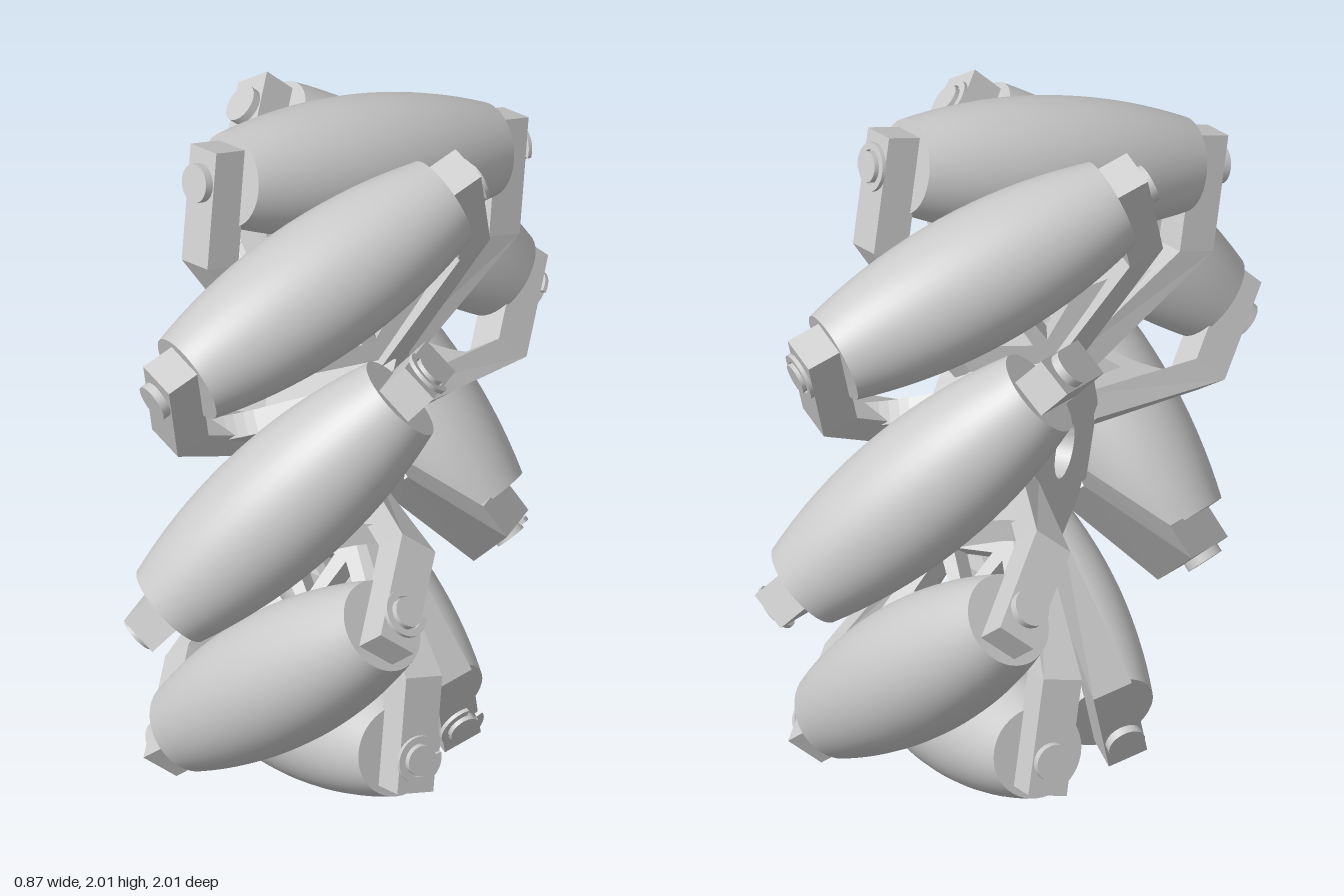
import * as THREE from 'three';
import { toCreasedNormals } from 'three/addons/utils/BufferGeometryUtils.js';

const COUNT = 8;
const STEP = (Math.PI * 2) / COUNT;
const R = 0.8;                                  // radius of the roller centres
const A = THREE.MathUtils.degToRad(48);         // roller axis against wheel axis
const X = new THREE.Vector3(1, 0, 0), Y = new THREE.Vector3(0, 1, 0);
const D = new THREE.Vector3(Math.cos(A), 0, -Math.sin(A));   // along a roller
const N = new THREE.Vector3(Math.sin(A), 0, Math.cos(A));    // across it
const mat = new THREE.MeshStandardMaterial({ color: 0xcccccc });
const thin = new THREE.MeshStandardMaterial({ color: 0xcccccc, side: THREE.DoubleSide });

function mesh(name, geometry, parent, material = mat) {
  const m = new THREE.Mesh(geometry, material);
  m.name = name;
  parent.add(m);
  return m;
}

// Four corners of a rectangle aligned with the roller axis
function section(center, halfD, halfN) {
  return [[1, 1], [1, -1], [-1, -1], [-1, 1]].map(([a, b]) =>
    center.clone().addScaledVector(D, a * halfD).addScaledVector(N, b * halfN));
}

// Flat-sided solid through four-cornered sections
function loft(sections) {
  const pos = [];
  const quad = (a, b, c, d) => [a, b, c, a, c, d].forEach(p => pos.push(p.x, p.y, p.z));
  for (let k = 0; k < sections.length - 1; k++) {
    const lo = sections[k], hi = sections[k + 1];
    for (let i = 0; i < 4; i++) {
      const j = (i + 1) % 4;
      quad(lo[i], lo[j], hi[j], hi[i]);
    }
  }
  quad(...sections[sections.length - 1]);
  quad(...sections[0].slice().reverse());
  const g = new THREE.BufferGeometry();
  g.setAttribute('position', new THREE.Float32BufferAttribute(pos, 3));
  g.computeVertexNormals();
  return g;
}

// Barrel whose outer line lies on a cylinder of radius 1
function rollerGeometry() {
  const k = Math.sin(A), pts = [];
  for (let i = 0; i <= 18; i++) {
    const s = -0.42 + (0.84 * i) / 18;
    const rho = Math.hypot(R, s * k);
    const shift = ((1 - rho) * s * k * k) / rho;
    pts.push(new THREE.Vector2(Math.sqrt((1 - rho) ** 2 - shift ** 2), s + shift));
  }
  pts.unshift(new THREE.Vector2(0, pts[0].y));
  pts.push(new THREE.Vector2(0, pts[pts.length - 1].y));
  return toCreasedNormals(new THREE.LatheGeometry(pts, 44), 0.6);
}

// Arm: hub, knee, then out to the roller pin
function armGeometry() {
  const onRoller = b => section(D.clone().multiplyScalar(0.505).setY(R + b), 0.055, 0.06)
    .map(p => p.applyAxisAngle(X, STEP / 2));
  return loft([
    section(new THREE.Vector3(0.12, 0.25, -0.047), 0.045, 0.04),
    onRoller(-0.24),
    onRoller(0.1),
  ]);
}

// Truss plate joining the two arms of a spoke
function webGeometry() {
  const s = new THREE.Shape();
  s.moveTo(-0.13, 0.24);
  s.lineTo(0.13, 0.24);
  s.lineTo(0.36, 0.63);
  s.quadraticCurveTo(0.28, 0.54, 0.16, 0.53);
  s.lineTo(-0.16, 0.53);
  s.quadraticCurveTo(-0.28, 0.54, -0.36, 0.63);
  s.closePath();
  const triangles = [[[-0.07, 0.34], [0.07, 0.34], [0, 0.46]]];
  for (const m of [1, -1]) {
    triangles.push([[m * 0.17, 0.48], [m * 0.03, 0.48], [m * 0.11, 0.36]]);
  }
  for (const t of triangles) s.holes.push(new THREE.Path(t.map(p => new THREE.Vector2(...p))));
  const g = new THREE.ExtrudeGeometry(s, { depth: 0.07, bevelEnabled: false, curveSegments: 8 });
  return g.translate(0, 0, -0.035);
}

// Open retaining ring, lying across Y
function clipGeometry() {
  const s = new THREE.Shape();
  s.absarc(0, 0, 0.07, 0.45, Math.PI * 2 - 0.45, false);
  s.absarc(0, 0, 0.05, Math.PI * 2 - 0.45, 0.45, true);
  s.closePath();
  const g = new THREE.ExtrudeGeometry(s, { depth: 0.012, bevelEnabled: false, curveSegments: 24 });
  return g.rotateX(-Math.PI / 2);
}

// Eight-sided hub with a bore, slightly twisted along the wheel axis
function hubGeometry() {
  const s = new THREE.Shape();
  for (let i = 0; i < COUNT; i++) {
    s[i ? 'lineTo' : 'moveTo'](0.285 * Math.cos(i * STEP), 0.285 * Math.sin(i * STEP));
  }
  s.closePath();
  s.holes.push(new THREE.Path().absarc(0, 0, 0.085, 0, Math.PI * 2, true));
  const g = new THREE.ExtrudeGeometry(s, { depth: 0.34, bevelEnabled: false, curveSegments: 20 });
  g.translate(0, 0, -0.17).rotateY(Math.PI / 2);
  const p = g.attributes.position, v = new THREE.Vector3();
  for (let i = 0; i < p.count; i++) {
    v.fromBufferAttribute(p, i).applyAxisAngle(X, -0.07 * Math.sign(v.x));
    p.setXYZ(i, v.x, v.y, v.z);
  }
  return toCreasedNormals(g, 0.5);
}

export function createModel() {
  const root = new THREE.Group();
  root.name = 'rollerWheel';
  const wheel = new THREE.Group();
  wheel.name = 'wheel';
  wheel.position.y = 1;
  root.add(wheel);
  mesh('hub', hubGeometry(), wheel);

  const roller = rollerGeometry(), arm = armGeometry(), web = webGeometry(), clip = clipGeometry();
  const pin = new THREE.CylinderGeometry(0.045, 0.045, 1.15, 24);
  const head = new THREE.CylinderGeometry(0.056, 0.056, 0.03, 24);

  for (let i = 0; i < COUNT; i++) {
    // Spoke with an arm to each side
    const spoke = new THREE.Group();
    spoke.name = 'spoke';
    spoke.rotation.x = i * STEP;
    wheel.add(spoke);
    mesh('web', web, spoke).rotation.y = 0.37;
    mesh('leftArm', arm, spoke);
    mesh('rightArm', arm, spoke).rotation.y = Math.PI;

    // Roller on its pin, held by a clip on the left and a head on the right
    const turn = new THREE.Group();
    turn.name = 'rollerMount';
    turn.rotation.x = (i + 0.5) * STEP;
    wheel.add(turn);
    const axle = new THREE.Group();
    axle.name = 'rollerAxle';
    axle.position.y = R;
    axle.quaternion.setFromUnitVectors(Y, D);
    turn.add(axle);
    mesh('roller', roller, axle);
    mesh('pin', pin, axle).position.y = 0.01;
    mesh('pinHead', head, axle).position.y = -0.57;
    mesh('retainingClip', clip, axle, thin).position.y = 0.562;
  }
  return root;
}
